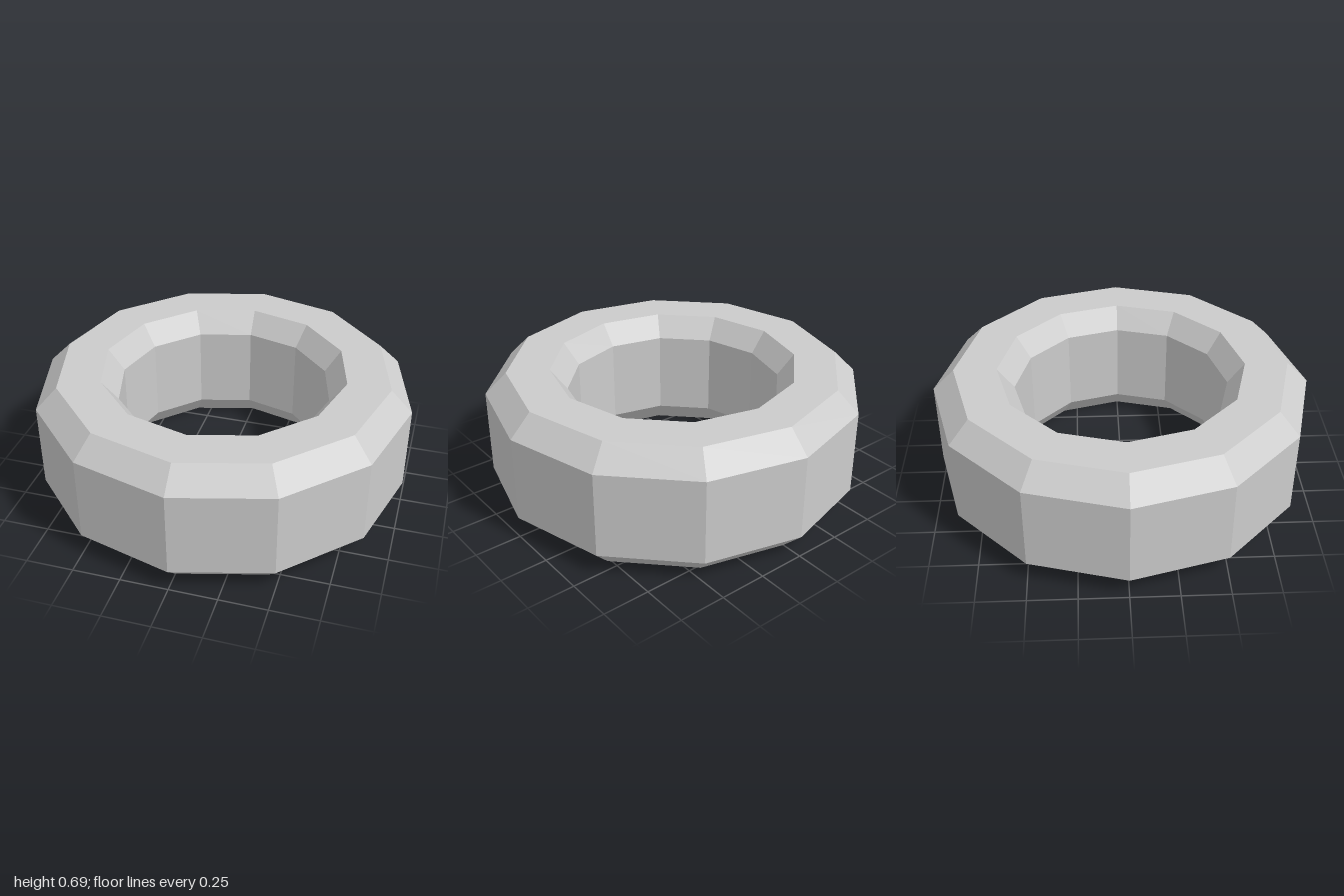
import * as THREE from 'three';

export function createModel() {
  const group = new THREE.Group();
  group.name = 'ring';

  const outer = 1, inner = 0.57, height = 0.685;
  const bevelY = 0.115, outerBevel = 0.115, innerBevel = 0.087;

  // Closed octagonal cross-section, outer wall first, running upwards
  const profile = [
    [outer - outerBevel, 0],
    [outer, bevelY],
    [outer, height - bevelY],
    [outer - outerBevel, height],
    [inner + innerBevel, height],
    [inner, height - bevelY],
    [inner, bevelY],
    [inner + innerBevel, 0],
    [outer - outerBevel, 0],
  ].map(([r, y]) => new THREE.Vector2(r, y));

  // Twelve-sided bevelled ring
  const body = new THREE.Mesh(
    new THREE.LatheGeometry(profile, 12),
    new THREE.MeshStandardMaterial({ color: 0xcccccc, flatShading: true })
  );
  body.name = 'bevelledRing';
  group.add(body);

  return group;
}
